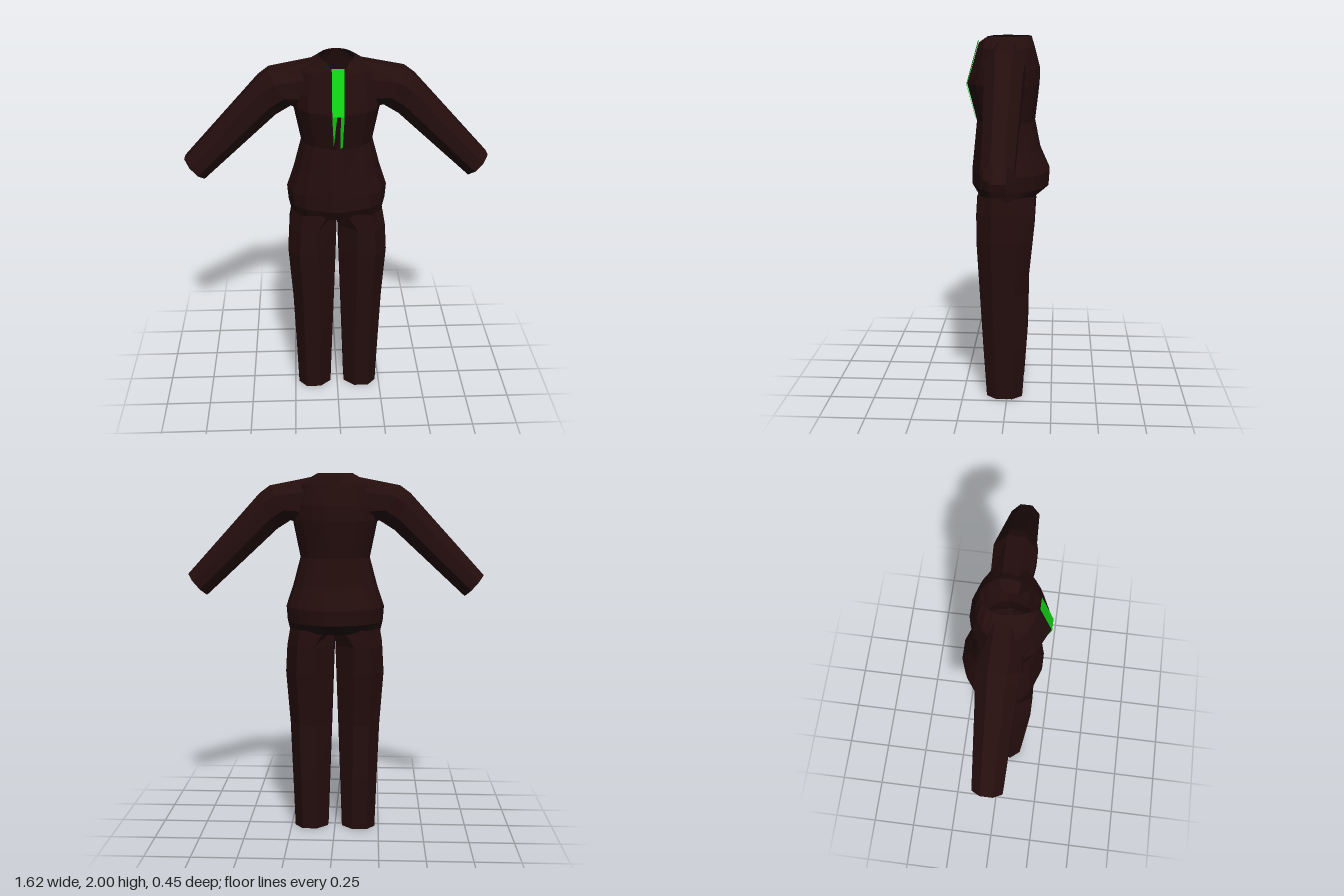
import * as THREE from 'three';

const V = (x, y, z) => new THREE.Vector3(x, y, z);

function surface(triangles) {
  const g = new THREE.BufferGeometry().setFromPoints(triangles);
  g.computeVertexNormals();
  return g;
}

// Skin a stack of closed rings, open at both ends
function loft(rings) {
  const tris = [];
  for (let r = 0; r < rings.length - 1; r++) {
    const a = rings[r], b = rings[r + 1], n = a.length;
    for (let i = 0; i < n; i++) {
      const j = (i + 1) % n;
      tris.push(a[i], a[j], b[j], a[i], b[j], b[i]);
    }
  }
  return surface(tris);
}

const mirror = (rings) => rings.map((r) => r.map((p) => V(-p.x, p.y, p.z)).reverse());

// Torso ring: narrow flat front, rounded back
function torsoRing([y, w, zf, zb, dip = 0]) {
  const half = [
    V(0.03, y - dip, zf), V(0.65 * w, y - dip * 0.2, 0.75 * zf), V(0.88 * w, y, 0.48 * zf), V(w, y, 0),
    V(0.92 * w, y, 0.4 * zb), V(0.74 * w, y, 0.66 * zb), V(0.5 * w, y, 0.87 * zb), V(0.2 * w, y, zb),
  ];
  return [...half, ...half.map((p) => V(-p.x, p.y, p.z)).reverse()];
}

// Sleeve ring between a top point and a bottom point, eight sides
function sleeveRing([tx, ty, bx, by, zf, zb]) {
  const k = 1 / Math.cos(Math.PI / 8);
  return Array.from({ length: 8 }, (_, i) => {
    const a = (i + 0.5) * Math.PI / 4;
    const c = Math.cos(a) * k / 2, s = Math.sin(a) * k / 2;
    return V((tx + bx) / 2 + c * (tx - bx), (ty + by) / 2 + c * (ty - by), (zf + zb) / 2 + s * (zf - zb));
  });
}

// Trouser ring: chamfered rectangle, with its own inner chamfer width
function legRing([y, x0, x1, zf, zb, inner]) {
  const co = (x1 - x0) * 0.24, cz = (zf - zb) * 0.27;
  return [
    V(x0 + inner, y, zf), V(x1 - co, y, zf), V(x1, y, zf - cz), V(x1, y, zb + cz),
    V(x1 - co, y, zb), V(x0 + inner, y, zb), V(x0, y, zb + cz), V(x0, y, zf - cz),
  ];
}

export function createModel() {
  const cloth = new THREE.MeshStandardMaterial({ color: 0x240d0d, flatShading: true, side: THREE.DoubleSide });
  cloth.name = 'dark maroon cloth';
  const green = new THREE.MeshStandardMaterial({ color: 0x10d814, flatShading: true, side: THREE.DoubleSide });
  green.name = 'bright green';

  const group = new THREE.Group();
  group.name = 'suit';
  const add = (name, geometry, material) => {
    const m = new THREE.Mesh(geometry, material);
    m.name = name;
    group.add(m);
  };

  // Jacket body, hem to neck: y, half width, front z, back z, front dip
  add('jacket', loft([
    [1.14, 0.25, 0.165, -0.15],
    [1.2, 0.264, 0.2, -0.22],
    [1.28, 0.27, 0.2, -0.225],
    [1.4, 0.23, 0.187, -0.172],
    [1.55, 0.19, 0.172, -0.142],
    [1.75, 0.23, 0.222, -0.165],
    [1.83, 0.225, 0.198, -0.166],
    [1.94, 0.2, 0.166, -0.138],
    [2.0, 0.092, 0.158, -0.12, 0.035],
  ].map(torsoRing)), cloth);

  // Sleeves: top x, top y, bottom x, bottom y, front z, back z
  const sleeve = [
    [0.12, 1.98, 0.15, 1.72, 0.1, -0.09],
    [0.35, 1.935, 0.24, 1.75, 0.115, -0.1],
    [0.405, 1.895, 0.32, 1.7, 0.104, -0.092],
    [0.81, 1.455, 0.71, 1.34, 0.085, -0.068],
  ].map(sleeveRing);
  add('leftSleeve', loft(sleeve), cloth);
  add('rightSleeve', loft(mirror(sleeve)), cloth);

  // Trouser legs, widening into the seat: y, inner x, outer x, front z, back z, inner chamfer
  const leg = [
    [0, 0.04, 0.228, 0.115, -0.085, 0.06],
    [0.3, 0.03, 0.238, 0.133, -0.105, 0.07],
    [0.62, 0.019, 0.25, 0.15, -0.11, 0.085],
    [0.92, 0.009, 0.271, 0.165, -0.14, 0.1],
    [1.07, 0.004, 0.262, 0.165, -0.148, 0.106],
    [1.165, 0, 0.245, 0.16, -0.145, 0.05],
  ].map(legRing);
  add('leftTrouserLeg', loft(leg), cloth);
  add('rightTrouserLeg', loft(mirror(leg)), cloth);

  // Gusset closing the seat between the legs, front and back
  for (const [name, z, s] of [['frontGusset', 0.16, 1], ['backGusset', -0.145, -1]]) {
    const a = V(-0.05 * s, 1.165, z), b = V(0.05 * s, 1.165, z), c = V(0, 1.165, z - s * 0.082);
    add(name, surface([a, c, b]), cloth);
  }

  // Tie: upper strip and two tapering tails
  const tl = V(-0.031, 1.975, 0.163), tr = V(0.031, 1.975, 0.163);
  const bl = V(-0.031, 1.745, 0.228), br = V(0.031, 1.745, 0.228);
  add('tie', surface([bl, br, tr, bl, tr, tl]), green);
  add('rightTieTail', surface([bl, V(-0.022, 1.57, 0.182), V(-0.006, 1.745, 0.228)]), green);
  add('leftTieTail', surface([
    V(0.012, 1.745, 0.228), V(0.012, 1.555, 0.178), V(0.024, 1.565, 0.181),
    V(0.012, 1.745, 0.228), V(0.024, 1.565, 0.181), br,
  ]), green);

  return group;
}
